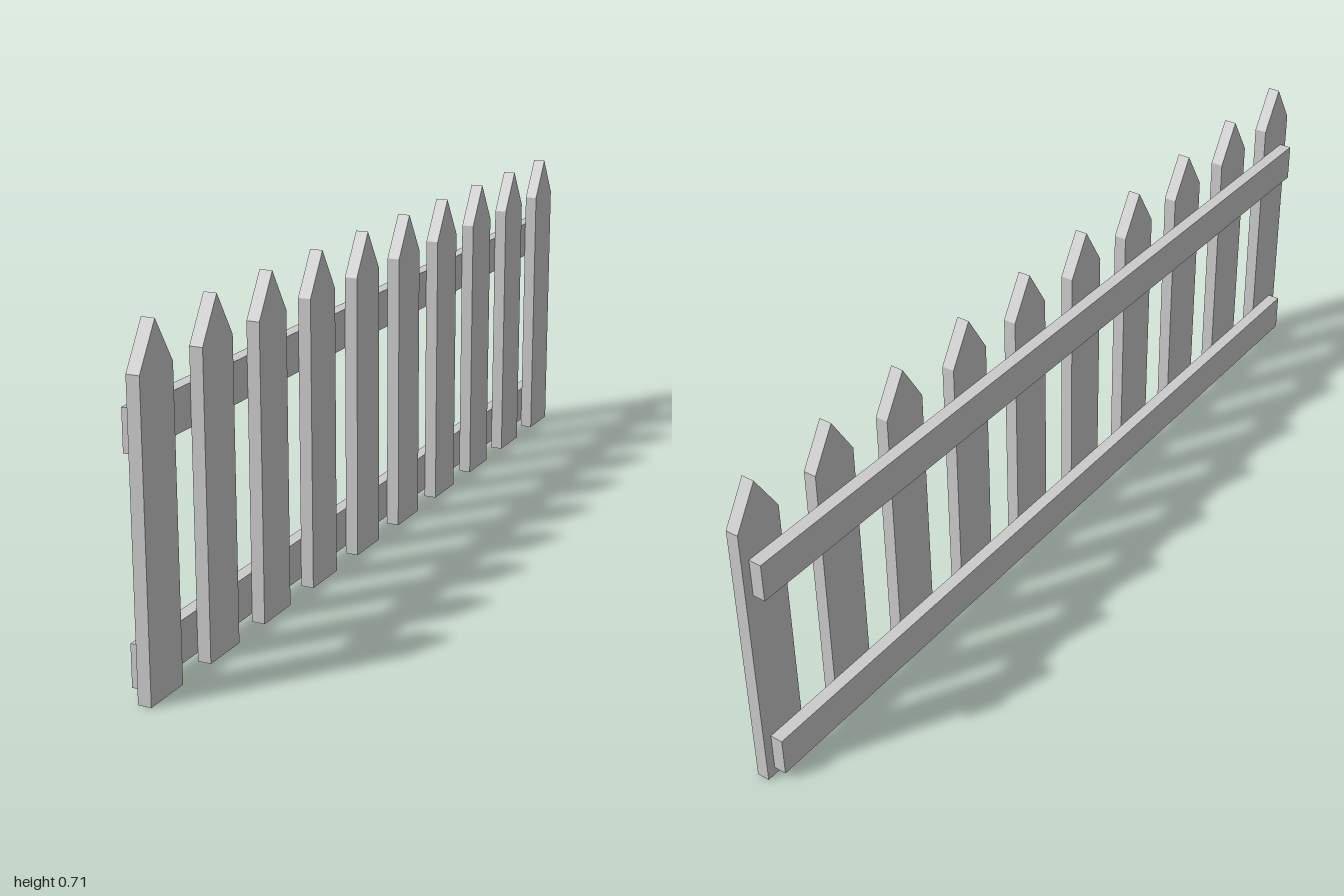
import * as THREE from 'three';

const PICKETS = 10;
const WIDTH = 0.109;      // picket width along z
const THICK = 0.028;      // board thickness along x
const SHOULDER = 0.62;    // height where the point begins
const HEIGHT = 0.71;

export function createModel() {
  const fence = new THREE.Group();
  fence.name = 'picketFence';
  const material = new THREE.MeshStandardMaterial({ color: 0xcccccc, flatShading: true });

  // Pointed picket outline, extruded and turned so its broad face looks along +x
  const h = WIDTH / 2;
  const outline = new THREE.Shape([
    new THREE.Vector2(-h, 0),
    new THREE.Vector2(h, 0),
    new THREE.Vector2(h, SHOULDER),
    new THREE.Vector2(0, HEIGHT),
    new THREE.Vector2(-h, SHOULDER),
  ]);
  const picketGeometry = new THREE.ExtrudeGeometry(outline, { depth: THICK, bevelEnabled: false });
  picketGeometry.rotateY(Math.PI / 2);

  // Evenly spaced row of pickets
  const pitch = (2 - WIDTH) / (PICKETS - 1);
  for (let i = 0; i < PICKETS; i++) {
    const picket = new THREE.Mesh(picketGeometry, material);
    picket.name = `picket${i + 1}`;
    picket.position.z = -1 + h + i * pitch;
    fence.add(picket);
  }

  // Two horizontal rails behind the pickets
  const addRail = (name, bottom, top) => {
    const rail = new THREE.Mesh(new THREE.BoxGeometry(THICK, top - bottom, 1.955), material);
    rail.name = name;
    rail.position.set(-THICK / 2, (bottom + top) / 2, -0.0025);
    fence.add(rail);
  };
  addRail('lowerRail', 0.018, 0.105);
  addRail('upperRail', 0.466, 0.551);

  return fence;
}
